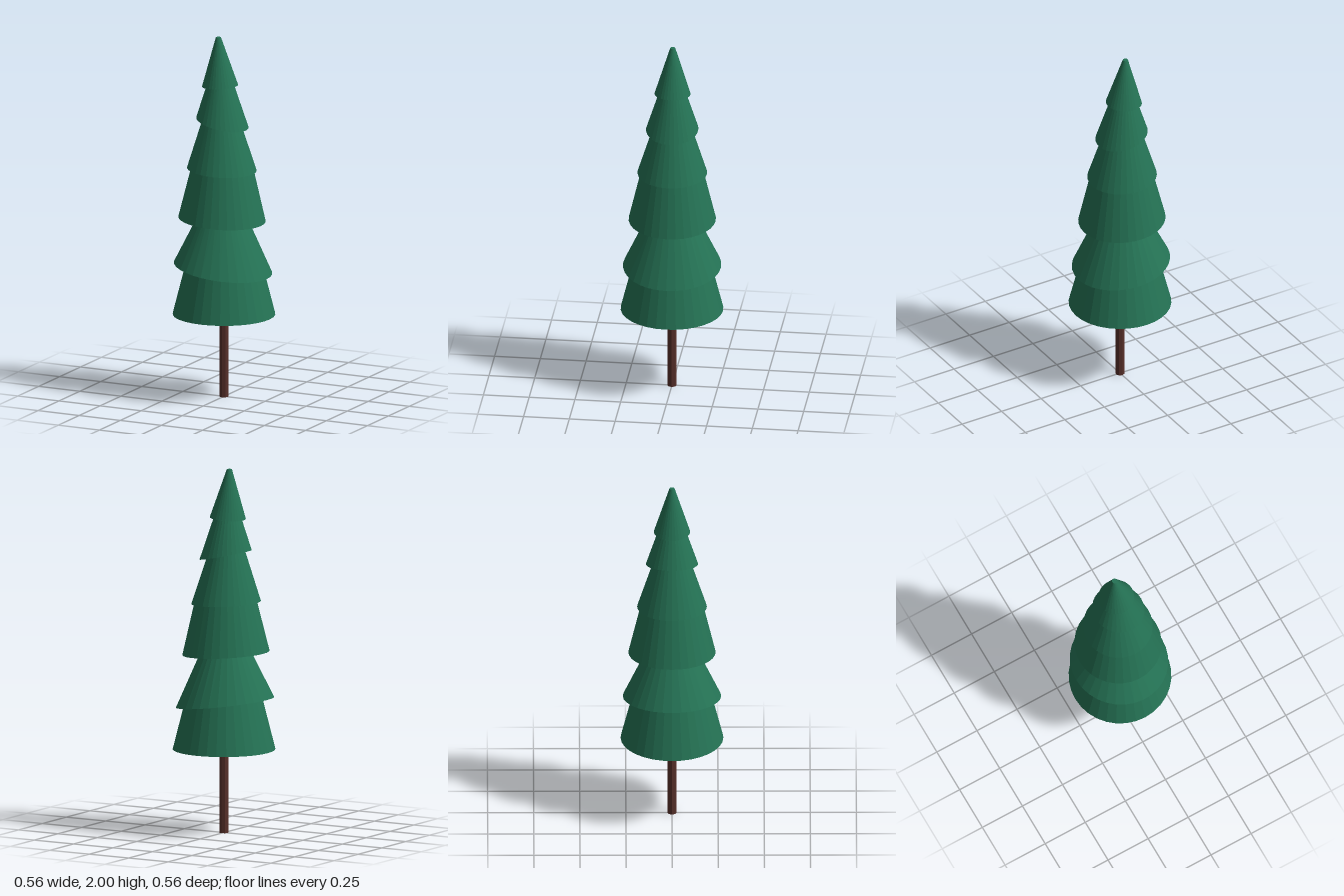
import * as THREE from 'three';

// Foliage tiers: bottom centre x, bottom y, bottom radius, rise per unit x, top centre x, top y, top radius
const TIERS = [
  [0, 0.46, 0.279, 0, 0, 0.76, 0.203],
  [-0.006, 0.717, 0.267, -0.128, -0.011, 1.02, 0.125],
  [-0.012, 0.989, 0.237, -0.059, -0.011, 1.29, 0.165],
  [-0.013, 1.267, 0.189, -0.05, -0.019, 1.56, 0.095],
  [-0.01, 1.527, 0.142, -0.215, -0.022, 1.76, 0.066],
  [-0.024, 1.731, 0.098, 0.058, -0.034, 2.0, 0.014],
];

// Capped cone whose lower rim is tilted and whose top is slightly off centre
function tierGeometry([bx, by, br, slope, tx, ty, tr]) {
  const geo = new THREE.CylinderGeometry(tr, br, 2, 32);
  const pos = geo.attributes.position;
  for (let i = 0; i < pos.count; i++) {
    const x = pos.getX(i);
    if (pos.getY(i) > 0) {
      pos.setX(i, x + tx);
      pos.setY(i, ty);
    } else {
      pos.setX(i, x + bx);
      pos.setY(i, by + slope * x);
    }
  }
  geo.computeVertexNormals();
  return geo;
}

export function createModel() {
  const tree = new THREE.Group();
  tree.name = 'pineTree';

  const green = new THREE.MeshStandardMaterial({ color: 0x257355, flatShading: true });
  green.name = 'needleGreen';
  const brown = new THREE.MeshStandardMaterial({ color: 0x57302a, flatShading: true });
  brown.name = 'barkBrown';

  // Slim trunk reaching into the lowest tier
  const trunk = new THREE.Mesh(new THREE.CylinderGeometry(0.025, 0.025, 0.55, 8), brown);
  trunk.name = 'trunk';
  trunk.position.y = 0.275;
  tree.add(trunk);

  // Stacked foliage
  TIERS.forEach((tier, i) => {
    const mesh = new THREE.Mesh(tierGeometry(tier), green);
    mesh.name = `foliageTier${i + 1}`;
    tree.add(mesh);
  });

  return tree;
}
